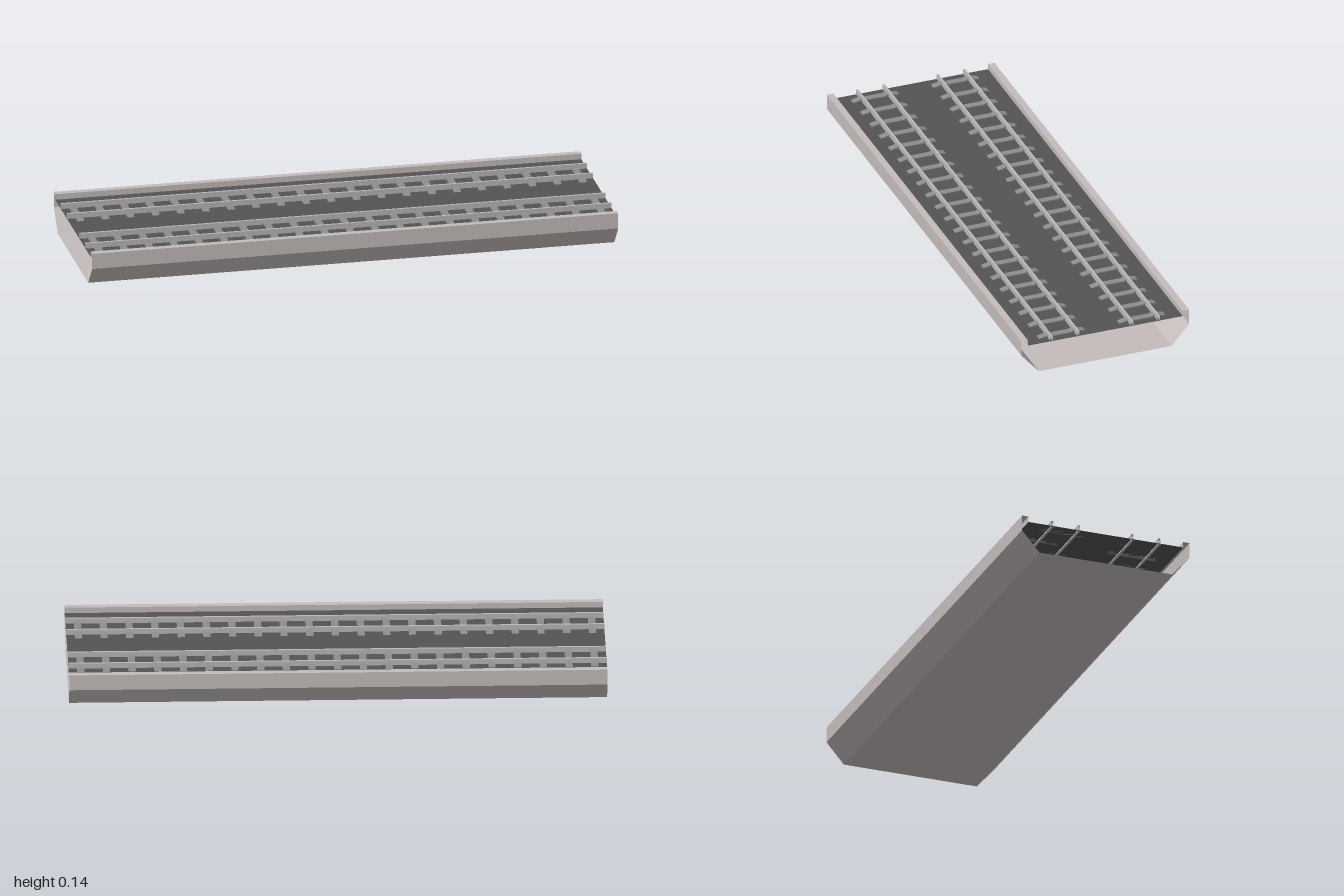
import * as THREE from 'three';

const HALF_LENGTH = 1;

// Open-ended sheet: sweeps a (z, y) outline along x, one flat face per segment
function sweep(outline) {
  const positions = [];
  for (let i = 0; i < outline.length - 1; i++) {
    const [z0, y0] = outline[i];
    const [z1, y1] = outline[i + 1];
    const a = [-HALF_LENGTH, y0, z0], b = [-HALF_LENGTH, y1, z1];
    const c = [HALF_LENGTH, y1, z1], d = [HALF_LENGTH, y0, z0];
    positions.push(...a, ...b, ...c, ...a, ...c, ...d);
  }
  const geometry = new THREE.BufferGeometry();
  geometry.setAttribute('position', new THREE.Float32BufferAttribute(positions, 3));
  geometry.computeVertexNormals();
  return geometry;
}

function material(name, color, side = THREE.FrontSide) {
  const m = new THREE.MeshStandardMaterial({ color, side });
  m.name = name;
  return m;
}

export function createModel() {
  const model = new THREE.Group();
  model.name = 'railViaductSection';

  const concrete = material('pale concrete', 0xc4bcba, THREE.DoubleSide);
  const ballast = material('dark ballast', 0x545454, THREE.DoubleSide);
  const steel = material('rail steel', 0xb8b8b8, THREE.DoubleSide);
  const sleeperGrey = material('sleeper grey', 0x8c8c8c);

  const add = (name, geometry, mat, parent = model) => {
    const mesh = new THREE.Mesh(geometry, mat);
    mesh.name = name;
    parent.add(mesh);
    return mesh;
  };

  // Trough: kerbs, upright sides, sloping haunches and flat underside
  const deckY = 0.118;
  const half = [[0.308, deckY], [0.308, 0.14], [0.334, 0.14], [0.334, 0.08], [0.265, 0]];
  const mirrored = half.map(([z, y]) => [-z, y]).reverse();
  add('trough', sweep([...half, ...mirrored]), concrete);

  // Track bed between the kerbs
  add('trackBed', sweep([[-0.308, deckY], [0.308, deckY]]), ballast);

  // Sleeper: raised seats under both rails, tapered ends, extruded along x
  const sleeperWidth = 0.027;
  const side = [[-0.092, 0], [-0.063, 0.007], [-0.058, 0.008], [-0.045, 0.008], [-0.034, 0.004]];
  const sleeperShape = new THREE.Shape(
    [...side, ...side.map(([z, y]) => [-z, y]).reverse()].map(([z, y]) => new THREE.Vector2(z, y))
  );
  const sleeperGeometry = new THREE.ExtrudeGeometry(sleeperShape, {
    depth: sleeperWidth, bevelEnabled: false,
  });
  sleeperGeometry.translate(0, 0, -sleeperWidth / 2);
  sleeperGeometry.rotateY(Math.PI / 2);

  // Rail: open-ended tube with a rectangular section
  const w = 0.0045, top = 0.138, bottom = 0.113;
  const railGeometry = sweep([[-w, top], [w, top], [w, bottom], [-w, bottom], [-w, top]]);

  // Two parallel tracks
  const sleeperCount = 21, spacing = 0.0955;
  for (const [name, z] of [['frontTrack', 0.16], ['backTrack', -0.16]]) {
    const track = new THREE.Group();
    track.name = name;
    track.position.z = z;
    model.add(track);
    for (const offset of [-0.053, 0.053]) {
      add('rail', railGeometry, steel, track).position.z = offset;
    }
    for (let i = 0; i < sleeperCount; i++) {
      const x = (i - (sleeperCount - 1) / 2) * spacing;
      add('sleeper', sleeperGeometry, sleeperGrey, track).position.set(x, deckY, 0);
    }
  }
  return model;
}
